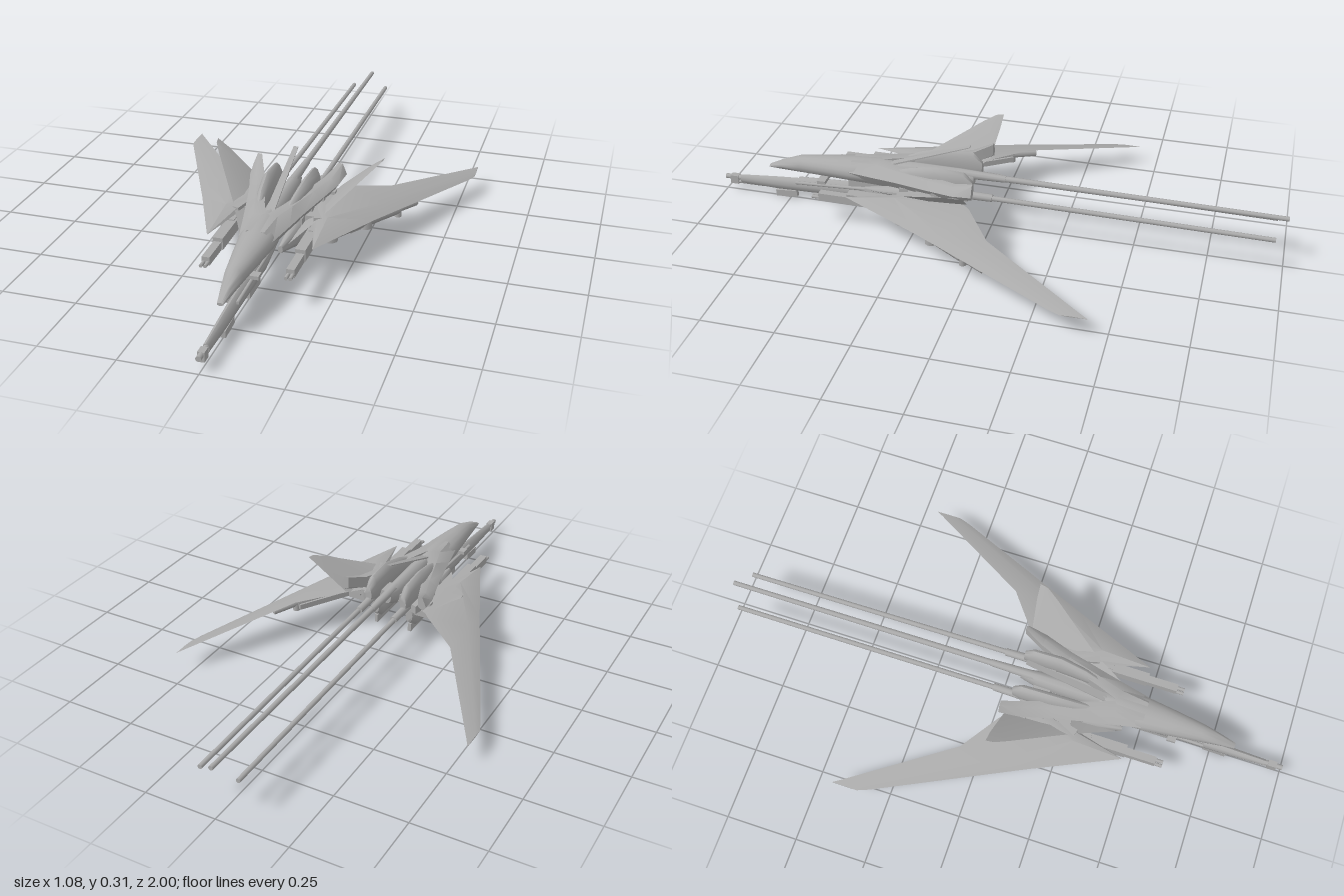
import * as THREE from 'three';
import { toCreasedNormals } from 'three/addons/utils/BufferGeometryUtils.js';

const grey = new THREE.MeshStandardMaterial({ color: 0xaaaaaa, side: THREE.DoubleSide });
grey.name = 'hull grey';

function add(parent, name, geometry) {
  const mesh = new THREE.Mesh(geometry, grey);
  mesh.name = name;
  parent.add(mesh);
  return mesh;
}

// Skin joining equal-sized rings of [x, y, z] points, capped at both ends
function loft(parent, name, rings, crease = 0.6) {
  const n = rings[0].length, index = [];
  for (let r = 0; r < rings.length - 1; r++) {
    for (let i = 0; i < n; i++) {
      const a = r * n + i, b = r * n + (i + 1) % n;
      index.push(a, b, a + n, b, b + n, a + n);
    }
  }
  const last = (rings.length - 1) * n;
  for (let i = 1; i < n - 1; i++) {
    index.push(0, i + 1, i, last, last + i, last + i + 1);
  }
  const g = new THREE.BufferGeometry();
  g.setAttribute('position', new THREE.Float32BufferAttribute(rings.flat(2), 3));
  g.setIndex(index);
  return add(parent, name, toCreasedNormals(g, crease));
}

// Rounded body along z; each section is [z, centre x, half width, bottom y, top y]
function hull(parent, name, sections, sides = 12) {
  return loft(parent, name, sections.map(([z, cx, w, y0, y1]) =>
    Array.from({ length: sides }, (_, i) => {
      const a = (i / sides) * Math.PI * 2;
      return [cx + w * Math.cos(a), (y0 + y1) / 2 + (y1 - y0) / 2 * Math.sin(a), z];
    })), 0.9);
}

// Aerofoil sections: [leading point, trailing point, half thickness]
function blade(parent, name, sections) {
  return loft(parent, name, sections.map(([p, q, t]) => {
    const mid = p.map((v, i) => v * 0.6 + q[i] * 0.4);
    return [p, [mid[0], mid[1] + t, mid[2]], q, [mid[0], mid[1] - t, mid[2]]];
  }), 0.5);
}

function box(parent, name, size, pos, rot = [0, 0, 0]) {
  const m = add(parent, name, new THREE.BoxGeometry(...size));
  m.position.set(...pos);
  m.rotation.set(...rot);
  return m;
}

function rod(parent, name, from, to, r0, r1 = r0, sides = 10) {
  const a = new THREE.Vector3(...from), b = new THREE.Vector3(...to);
  const m = add(parent, name, new THREE.CylinderGeometry(r1, r0, a.distanceTo(b), sides));
  m.position.copy(a).add(b).multiplyScalar(0.5);
  m.quaternion.setFromUnitVectors(new THREE.Vector3(0, 1, 0), b.sub(a).normalize());
  return m;
}

function buildSide(side) {
  // Main swept wing
  blade(side, 'wing', [
    [[0.12, 0.15, 0.27], [0.11, 0.165, 0.1], 0.012],
    [[0.172, 0.145, 0.47], [0.17, 0.165, 0.035], 0.017],
    [[0.3, 0.125, 0.18], [0.3, 0.14, -0.06], 0.012],
    [[0.525, 0.078, -0.31], [0.525, 0.08, -0.415], 0.004],
    [[0.54, 0.075, -0.35], [0.54, 0.076, -0.44], 0.002],
  ]);
  // Canted tail fin
  blade(side, 'tailFin', [
    [[0.08, 0.125, 0.42], [0.1, 0.13, 0.12], 0.008],
    [[0.15, 0.165, 0.28], [0.155, 0.172, 0.045], 0.007],
    [[0.265, 0.258, 0.1], [0.25, 0.25, 0.032], 0.004],
    [[0.288, 0.276, 0.06], [0.293, 0.28, 0.03], 0.002],
  ]);
  // Shoulder shell sweeping back from the nose and ending in a raised horn
  loft(side, 'shoulderShell', [
    [0.5, 0, 0.056, 0.125, 0.198, 0.17], [0.4, 0, 0.078, 0.13, 0.206, 0.175],
    [0.32, 0.03, 0.096, 0.14, 0.207, 0.18], [0.2, 0.068, 0.125, 0.15, 0.208, 0.185],
    [0.1, 0.105, 0.155, 0.165, 0.215, 0.195], [0.03, 0.135, 0.165, 0.19, 0.242, 0.205],
  ].map(([z, xi, xo, yb, yt, yo]) => [
    [xi, yt, z], [xi * 0.5 + xo * 0.5, yt, z], [xo, yo, z],
    [xi * 0.4 + xo * 0.6, yb, z], [xi, yb + 0.01, z],
  ]), 0.7);
  // Upper and lower engine nacelles
  hull(side, 'upperNacelle', [
    [0.36, 0.045, 0.008, 0.17, 0.19], [0.27, 0.058, 0.018, 0.15, 0.225],
    [0.18, 0.067, 0.022, 0.14, 0.246], [0.08, 0.067, 0.02, 0.14, 0.24],
    [0.05, 0.067, 0.012, 0.15, 0.21],
  ]);
  hull(side, 'lowerNacelle', [
    [0.44, 0.06, 0.008, 0.1, 0.125], [0.32, 0.068, 0.026, 0.064, 0.15],
    [0.22, 0.07, 0.03, 0.053, 0.155], [0.13, 0.068, 0.024, 0.054, 0.14],
    [0.1, 0.066, 0.014, 0.08, 0.13],
  ]);
  box(side, 'nacelleSkid', [0.012, 0.03, 0.15], [0.066, 0.055, 0.18]);
  // Long trailing boom with its socket
  rod(side, 'sideBoomSocket', [0.07, 0.155, 0.25], [0.067, 0.154, -0.02], 0.017, 0.013);
  rod(side, 'sideBoom', [0.068, 0.154, 0], [0.066, 0.142, -0.965], 0.009, 0.008);
  // Wing root joints
  box(side, 'hipBlock', [0.1, 0.045, 0.16], [0.13, 0.132, 0.19]);
  box(side, 'hipStrut', [0.03, 0.03, 0.22], [0.115, 0.15, 0.19], [0, 0.25, 0]);
  rod(side, 'hipJoint', [0.14, 0.13, 0.27], [0.185, 0.125, 0.27], 0.022);
  for (let i = 0; i < 3; i++) {
    box(side, 'hipRib', [0.02, 0.045, 0.02], [0.095 + i * 0.022, 0.155, 0.23 - i * 0.06]);
  }
  // Forward gun pod
  box(side, 'gunPodBody', [0.034, 0.04, 0.15], [0.135, 0.122, 0.4]);
  box(side, 'gunPodMount', [0.04, 0.035, 0.12], [0.145, 0.128, 0.29]);
  box(side, 'gunPodCover', [0.026, 0.028, 0.12], [0.136, 0.115, 0.52]);
  for (const dx of [-0.007, 0.007]) {
    rod(side, 'gunPodBarrel', [0.136 + dx, 0.112, 0.5], [0.136 + dx, 0.11, 0.605], 0.006);
  }
  // Folded limb slung under the wing
  const limb = [[0.175, 0.108, 0.27], [0.26, 0.103, 0.14], [0.34, 0.093, 0.01], [0.385, 0.084, -0.07]];
  [0.028, 0.024, 0.014].forEach((r, i) => {
    rod(side, 'underwingLimb', limb[i], limb[i + 1], r, r * 0.8, 6);
    rod(side, 'underwingJoint', [limb[i][0], limb[i][1] - 0.03, limb[i][2]],
      [limb[i][0], limb[i][1] + 0.025, limb[i][2]], r * 0.9);
  });
  box(side, 'underwingPlate', [0.03, 0.02, 0.22], [0.27, 0.084, 0.1], [0, -0.56, 0]);
}

export function createModel() {
  const model = new THREE.Group();
  model.name = 'aircraft';

  for (const [name, s] of [['leftSide', 1], ['rightSide', -1]]) {
    const side = new THREE.Group();
    side.name = name;
    side.scale.x = s;
    buildSide(side);
    model.add(side);
  }

  // Nose and central fuselage
  hull(model, 'nose', [
    [0.82, 0, 0.01, 0.117, 0.127], [0.77, 0, 0.019, 0.115, 0.152],
    [0.7, 0, 0.031, 0.115, 0.178], [0.6, 0, 0.045, 0.117, 0.19],
    [0.5, 0, 0.058, 0.118, 0.2], [0.4, 0, 0.06, 0.118, 0.208], [0.34, 0, 0.03, 0.13, 0.2],
  ], 16);
  hull(model, 'spine', [
    [0.39, 0, 0.02, 0.13, 0.2], [0.28, 0, 0.03, 0.12, 0.212],
    [0.12, 0, 0.026, 0.13, 0.212], [0.06, 0, 0.016, 0.16, 0.208],
  ]);
  box(model, 'crossBeam', [0.18, 0.045, 0.13], [0, 0.135, 0.24]);
  box(model, 'rearCrossBeam', [0.14, 0.03, 0.06], [0, 0.16, 0.14]);

  // Central boom and raked dorsal blade
  rod(model, 'centreBoom', [0, 0.196, 0.2], [0, 0.187, -1], 0.011, 0.008);
  rod(model, 'centreBoomSocket', [0, 0.195, 0.12], [0, 0.194, -0.05], 0.017, 0.012);
  loft(model, 'dorsalBlade', [
    [[-0.014, 0.2, 0.36], [0.014, 0.2, 0.36], [0.014, 0.194, 0.36], [-0.014, 0.194, 0.36]],
    [[-0.008, 0.305, 0.075], [0.008, 0.305, 0.075], [0.008, 0.302, 0.075], [-0.008, 0.302, 0.075]],
  ]);

  // Long gun slung beneath the nose
  const gun = new THREE.Group();
  gun.name = 'bellyGun';
  model.add(gun);
  hull(gun, 'gunBody', [
    [0.94, 0, 0.011, 0.03, 0.064], [0.8, 0, 0.014, 0.026, 0.077],
    [0.62, 0, 0.018, 0.03, 0.09], [0.45, 0, 0.022, 0.032, 0.104], [0.28, 0, 0.015, 0.065, 0.12],
  ], 8);
  rod(gun, 'gunBarrel', [0, 0.052, 0.9], [0, 0.05, 1], 0.009);
  rod(gun, 'gunLowerBarrel', [0, 0.035, 0.85], [0, 0.034, 0.98], 0.007);
  box(gun, 'gunMuzzle', [0.022, 0.032, 0.03], [0, 0.044, 0.965]);
  box(gun, 'gunGrip', [0.016, 0.024, 0.08], [0, 0.015, 0.765], [0.08, 0, 0]);
  box(gun, 'gunFoot', [0.014, 0.008, 0.05], [0, 0.004, 0.775]);
  box(gun, 'gunMagazine', [0.026, 0.03, 0.1], [0, 0.032, 0.55]);
  box(gun, 'gunBracket', [0.1, 0.012, 0.03], [0, 0.108, 0.61]);
  box(gun, 'gunHanger', [0.03, 0.05, 0.2], [0, 0.108, 0.42]);
  for (const x of [-0.016, 0.016]) {
    rod(gun, 'gunRail', [x, 0.09, 0.36], [x, 0.072, 0.72], 0.006);
  }
  return model;
}
